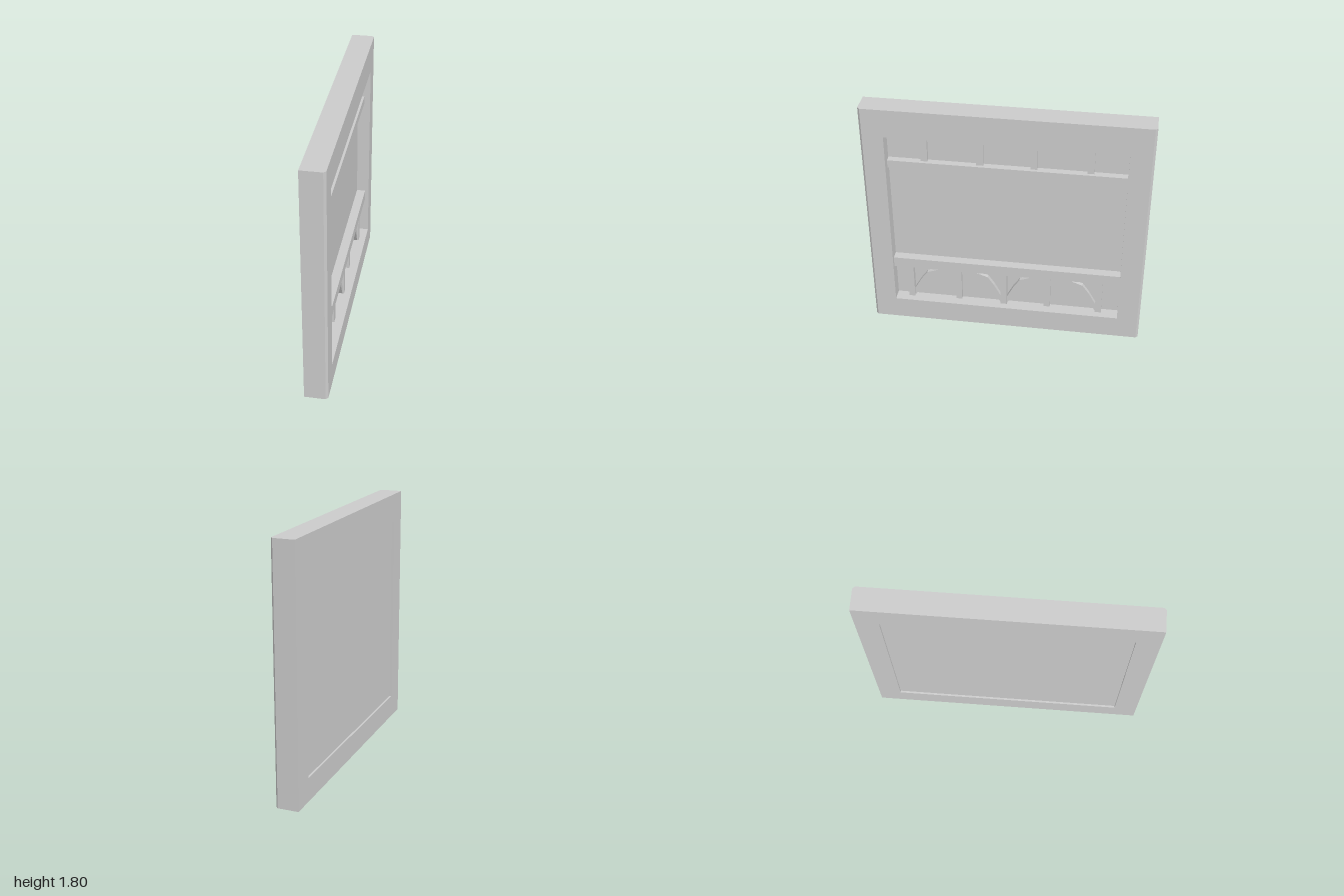
import * as THREE from 'three';

const HALF = 0.083;          // half thickness of the wall panel
const PANEL = -0.01;         // front face of the recessed panel
const material = new THREE.MeshStandardMaterial({ color: 0xcccccc, flatShading: true });

// Extrude a (z, y) outline along +x, starting at x0
function extrudeX(shape, x0, depth, steps = 1) {
  const geo = new THREE.ExtrudeGeometry(shape, { depth, steps, bevelEnabled: false });
  geo.rotateY(Math.PI / 2);
  geo.translate(x0, 0, 0);
  return geo;
}

// Outline from [z, y] points (shape x becomes -z when extruded)
const outline = (points) => new THREE.Shape(points.map(([z, y]) => new THREE.Vector2(-z, y)));
const rect = (z, y0, y1) => [[z, y0], [-z, y0], [-z, y1], [z, y1]];

export function createModel() {
  const group = new THREE.Group();
  const add = (name, geo) => {
    const mesh = new THREE.Mesh(geo, material);
    mesh.name = name;
    group.add(mesh);
  };
  const box = (name, x0, x1, y0, y1, z0, z1) => {
    const geo = new THREE.BoxGeometry(x1 - x0, y1 - y0, z1 - z0);
    geo.translate((x0 + x1) / 2, (y0 + y1) / 2, (z0 + z1) / 2);
    add(name, geo);
  };

  // Frame: square ring whose two upright outer edges are chamfered on the +x face
  const ring = outline(rect(1, 0, 1.8));
  ring.holes.push(outline(rect(0.835, 0.17, 1.59)));
  const frame = extrudeX(ring, -HALF, 2 * HALF, 2);
  const pos = frame.attributes.position;
  for (let i = 0; i < pos.count; i++) {
    const x = pos.getX(i), z = pos.getZ(i);
    if (Math.abs(x) < 0.001) pos.setX(i, HALF - 0.016);
    else if (x > 0 && Math.abs(z) > 0.99) pos.setZ(i, Math.sign(z) * 0.984);
  }
  frame.computeVertexNormals();
  add('frame', frame);

  // Recessed panel, slightly sunk at the back
  box('panel', -HALF + 0.014, PANEL, 0.17, 1.59, -0.835, 0.835);

  // Horizontal rails
  box('upperRail', PANEL, 0.04, 1.32, 1.38, -0.832, 0.832);
  box('lowerRail', PANEL, 0.055, 0.46, 0.54, -0.835, 0.835);

  // Short posts above the upper rail
  for (const z of [0.575, 0.185, -0.19, -0.58])
    box('upperPost', PANEL, PANEL + 0.027, 1.38, 1.585, z - 0.024, z + 0.024);

  // Posts below the lower rail; outer and middle ones stand further out
  [0.72, 0.36, 0.018, -0.305, -0.69].forEach((z, i) => {
    const depth = i % 2 ? 0.028 : 0.042;
    box('lowerPost', PANEL, PANEL + depth, 0.17, 0.46, z - 0.023, z + 0.023);
  });

  // Curved braces: [fraction from foot to top, height] along lower and upper edges
  const under = [[0, 0.17], [0.21, 0.285], [0.38, 0.37], [0.64, 0.415], [1, 0.46]];
  const over = [[0.84, 0.458], [0.64, 0.435], [0.33, 0.4], [0.17, 0.33], [0, 0.235]];
  for (const [foot, top] of [[0.697, 0.39], [0.042, 0.335], [-0.005, -0.29], [-0.667, -0.36]]) {
    const points = [...under, ...over].map(([u, y]) => [foot + u * (top - foot), y]);
    add('archBrace', extrudeX(outline(points), PANEL, 0.03));
  }

  return group;
}
